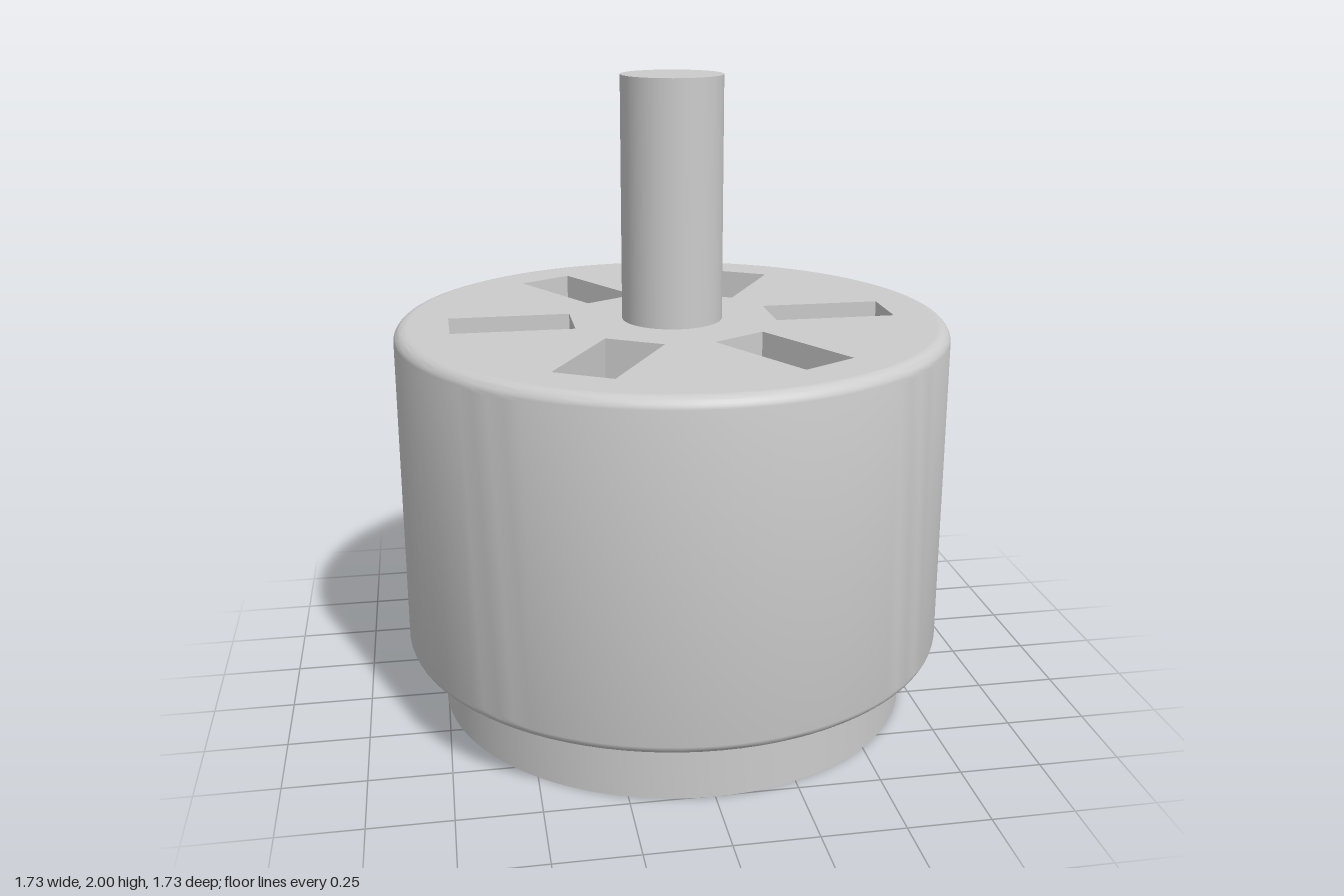
import * as THREE from 'three';
import { toCreasedNormals } from 'three/addons/utils/BufferGeometryUtils.js';

const material = new THREE.MeshStandardMaterial({ color: 0xcccccc });
const BODY_R = 0.865, BEVEL = 0.04, LOW = 0.2, HIGH = 1.25;
const SLOT_DEPTH = 0.2;

function add(group, name, geometry, y = 0) {
  const mesh = new THREE.Mesh(geometry, material);
  mesh.name = name;
  mesh.position.y = y;
  group.add(mesh);
  return mesh;
}

function disc(radius) {
  return new THREE.Shape().absarc(0, 0, radius, 0, Math.PI * 2, false);
}

// Upright plate with its holes cut right through, standing on y = 0
function plate(shape, depth) {
  const geometry = new THREE.ExtrudeGeometry(shape, { depth, bevelEnabled: false, curveSegments: 48 });
  geometry.rotateX(-Math.PI / 2);
  return toCreasedNormals(geometry, 0.6);
}

// Radial slot outline, turned by an angle
function slot(angle) {
  const corners = [[0.315, -0.095], [0.315, 0.095], [0.695, 0.095], [0.695, -0.095]];
  return new THREE.Path(corners.map(([x, y]) =>
    new THREE.Vector2(x, y).rotateAround(new THREE.Vector2(), angle)));
}

export function createModel() {
  const group = new THREE.Group();

  // Housing wall with rounded rims and closed underside
  const arc = (cy, start) => Array.from({ length: 9 }, (_, i) => {
    const a = start + (i / 8) * Math.PI / 2;
    return new THREE.Vector2(BODY_R - BEVEL + BEVEL * Math.cos(a), cy + BEVEL * Math.sin(a));
  });
  const profile = [
    new THREE.Vector2(0, LOW),
    ...arc(LOW + BEVEL, -Math.PI / 2),
    ...arc(HIGH - BEVEL, 0),
  ];
  add(group, 'housing', toCreasedNormals(new THREE.LatheGeometry(profile, 96), 0.6));

  // Slotted top plate and the floor seen through its slots
  const top = disc(BODY_R - BEVEL);
  for (let i = 0; i < 6; i++) top.holes.push(slot(i * Math.PI / 3));
  add(group, 'slottedTop', plate(top, SLOT_DEPTH), HIGH - SLOT_DEPTH);
  const floor = new THREE.CircleGeometry(0.8, 64).rotateX(-Math.PI / 2);
  add(group, 'slotFloor', floor, HIGH - SLOT_DEPTH);

  // Base with four mounting holes
  const base = disc(0.755);
  for (let i = 0; i < 4; i++) {
    const a = i * Math.PI / 2;
    const hole = new THREE.Path();
    hole.absarc(0.53 * Math.cos(a), 0.53 * Math.sin(a), 0.085, 0, Math.PI * 2, true);
    base.holes.push(hole);
  }
  add(group, 'mountingBase', plate(base, LOW));

  // Output shaft
  add(group, 'shaft', new THREE.CylinderGeometry(0.157, 0.157, 2 - HIGH, 48), (2 + HIGH) / 2);

  return group;
}
